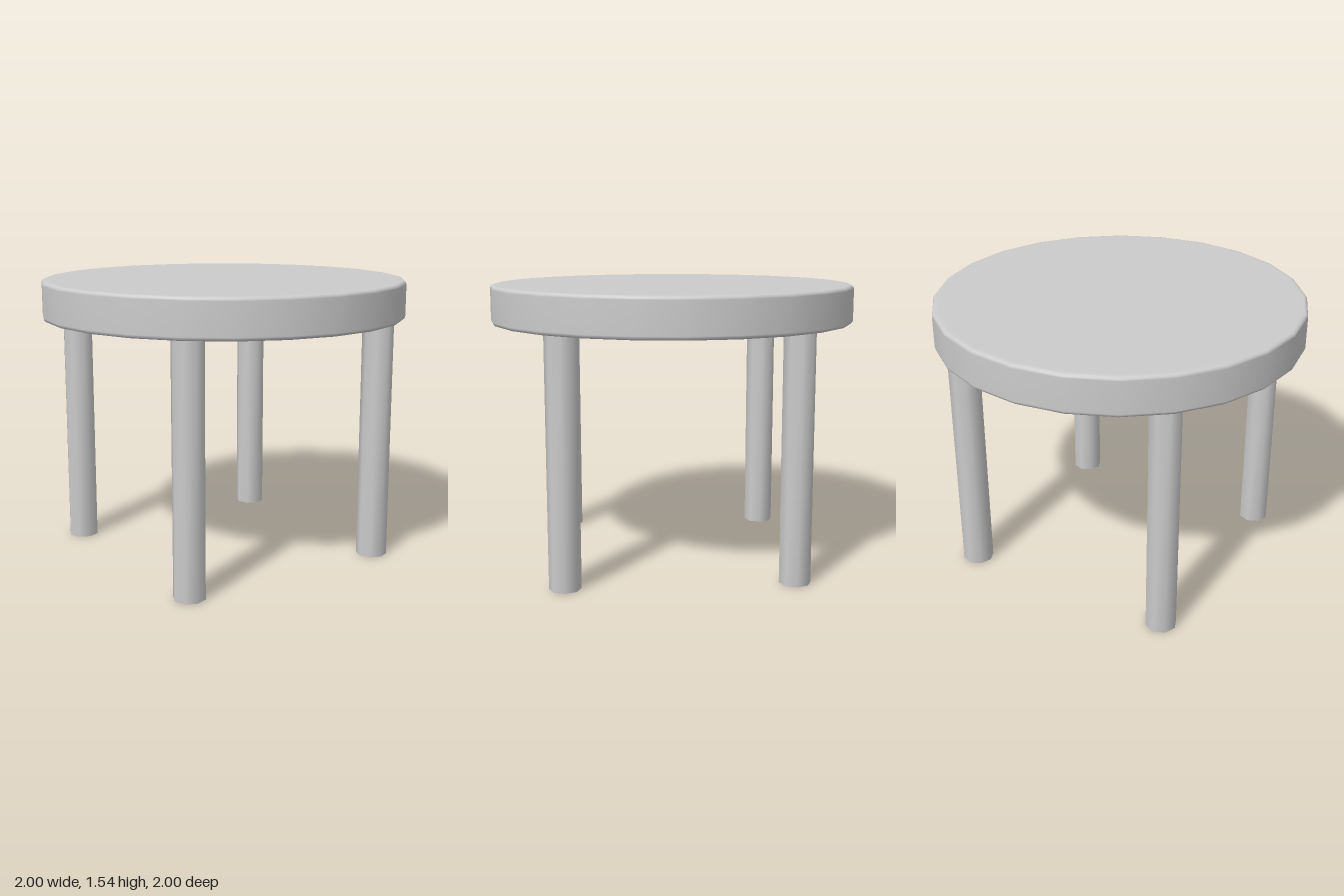
import * as THREE from 'three';
import { toCreasedNormals } from 'three/addons/utils/BufferGeometryUtils.js';

const TOP_Y = 1.545, UNDER_Y = 1.335, TOP_R = 1, BEVEL = 0.02;
const LEG_R = 0.085, LEG_OFFSET = 0.857;

export function createModel() {
  const group = new THREE.Group();
  group.name = 'roundTable';
  const material = new THREE.MeshStandardMaterial({ color: 0xcccccc });

  // Tabletop: 24-sided disc with softly rounded rims
  const profile = [new THREE.Vector2(0, UNDER_Y), new THREE.Vector2(TOP_R - 2 * BEVEL, UNDER_Y)];
  const addRim = (y, start) => {
    for (let i = 0; i <= 3; i++) {
      const a = start + (i / 3) * Math.PI / 2;
      profile.push(new THREE.Vector2(TOP_R - BEVEL + BEVEL * Math.cos(a), y + BEVEL * Math.sin(a)));
    }
  };
  addRim(UNDER_Y + BEVEL, -Math.PI / 2);
  addRim(TOP_Y - BEVEL, 0);
  profile.push(new THREE.Vector2(TOP_R - 2 * BEVEL, TOP_Y), new THREE.Vector2(0, TOP_Y));
  const tabletop = new THREE.Mesh(new THREE.LatheGeometry(profile, 24), material);
  tabletop.name = 'tabletop';
  group.add(tabletop);

  // Four straight legs, one on each axis
  const legGeometry = toCreasedNormals(new THREE.CylinderGeometry(LEG_R, LEG_R, UNDER_Y, 8), Math.PI / 3);
  ['frontLeg', 'leftLeg', 'backLeg', 'rightLeg'].forEach((name, i) => {
    const a = i * Math.PI / 2;
    const leg = new THREE.Mesh(legGeometry, material);
    leg.name = name;
    leg.position.set(LEG_OFFSET * Math.sin(a), UNDER_Y / 2, LEG_OFFSET * Math.cos(a));
    group.add(leg);
  });

  return group;
}
